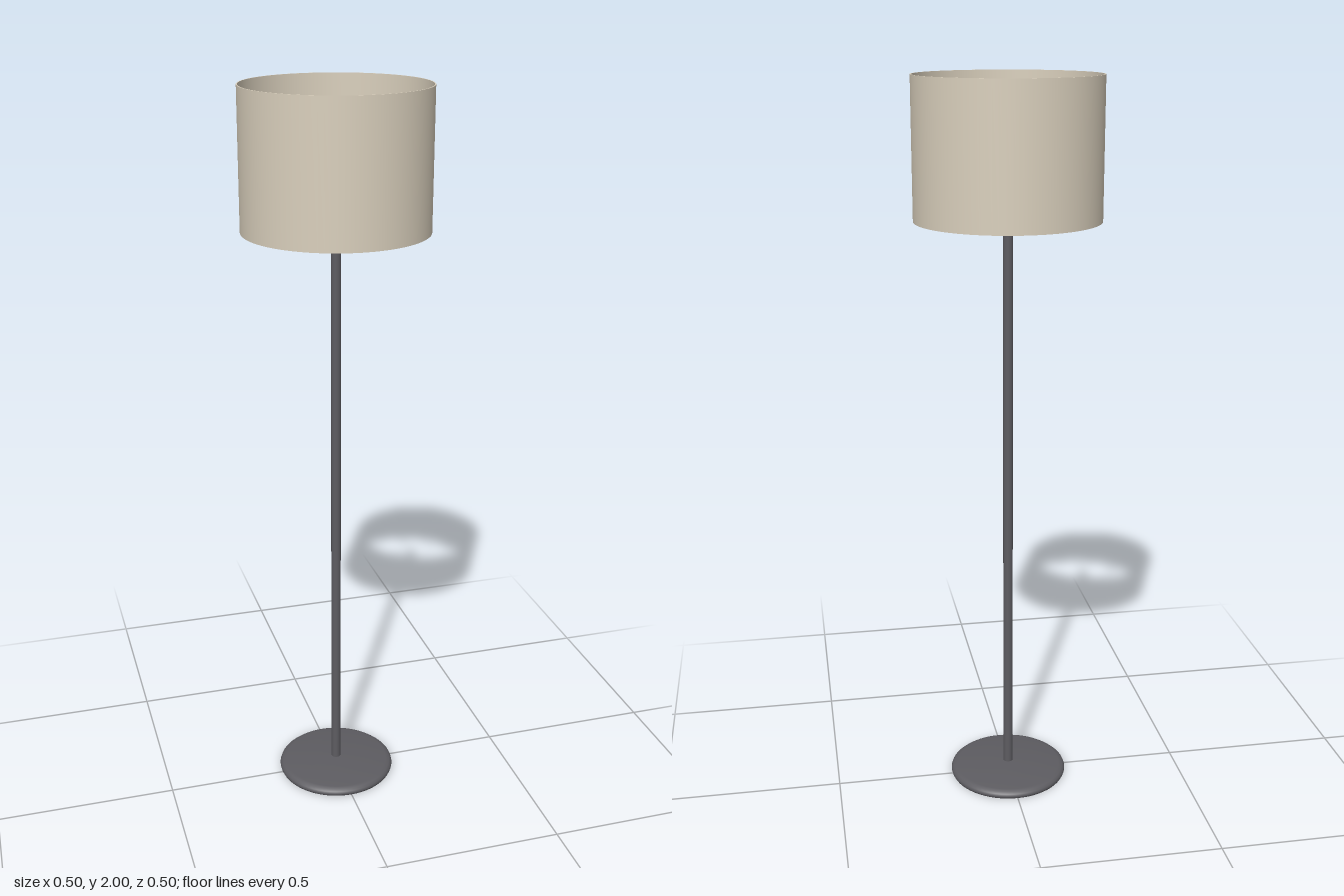
import * as THREE from 'three';

export function createModel() {
  const lamp = new THREE.Group();
  lamp.name = 'floorLamp';

  const metal = new THREE.MeshStandardMaterial({ color: 0x5d5c61 });
  metal.name = 'dark grey metal';
  const fabric = new THREE.MeshStandardMaterial({ color: 0xd9cfbc });
  fabric.name = 'beige fabric';

  const add = (name, geometry, material) => {
    const mesh = new THREE.Mesh(geometry, material);
    mesh.name = name;
    lamp.add(mesh);
    return mesh;
  };
  const points = (list) => list.map(([x, y]) => new THREE.Vector2(x, y));

  // Weighted foot: rounded rim and a gently domed top
  add('base', new THREE.LatheGeometry(points([
    [0.167, 0.004], [0.168, 0.008], [0.166, 0.014], [0.160, 0.019],
    [0.150, 0.022], [0.10, 0.026], [0.05, 0.029], [0, 0.03],
  ]), 64), metal);
  const underside = add('baseUnderside', new THREE.CylinderGeometry(0.167, 0.165, 0.004, 64), metal);
  underside.position.y = 0.002;

  // Pole with a tapered, rounded tip
  const spokeY = 1.775;
  add('pole', new THREE.LatheGeometry(points([
    [0.0135, 0.02], [0.0135, 1.74], [0.012, 1.757], [0.008, 1.771], [0, 1.777],
  ]), 24), metal);

  // Four spokes carrying the shade
  const radius = 0.248;
  for (let i = 0; i < 4; i++) {
    const geometry = new THREE.CylinderGeometry(0.003, 0.003, radius - 0.002, 8);
    geometry.rotateZ(Math.PI / 2).translate((radius - 0.002) / 2, spokeY, 0);
    add('spoke' + (i + 1), geometry, metal).rotation.y = i * Math.PI / 2;
  }

  // Thin open drum shade: an extruded ring
  const ring = new THREE.Shape().absarc(0, 0, radius, 0, Math.PI * 2);
  ring.holes.push(new THREE.Path().absarc(0, 0, radius - 0.003, 0, Math.PI * 2, true));
  const rims = new THREE.ShapeGeometry(ring, 48);
  const bottom = 1.63, top = 2;
  add('shadeTopRim', rims.clone().rotateX(-Math.PI / 2).translate(0, top, 0), fabric);
  add('shadeBottomRim', rims.clone().rotateX(Math.PI / 2).translate(0, bottom, 0), fabric);
  add('shadeOuter', new THREE.LatheGeometry(points([[radius, bottom], [radius, top]]), 96), fabric);
  add('shadeInner', new THREE.LatheGeometry(points([[radius - 0.003, top], [radius - 0.003, bottom]]), 96), fabric);

  return lamp;
}
